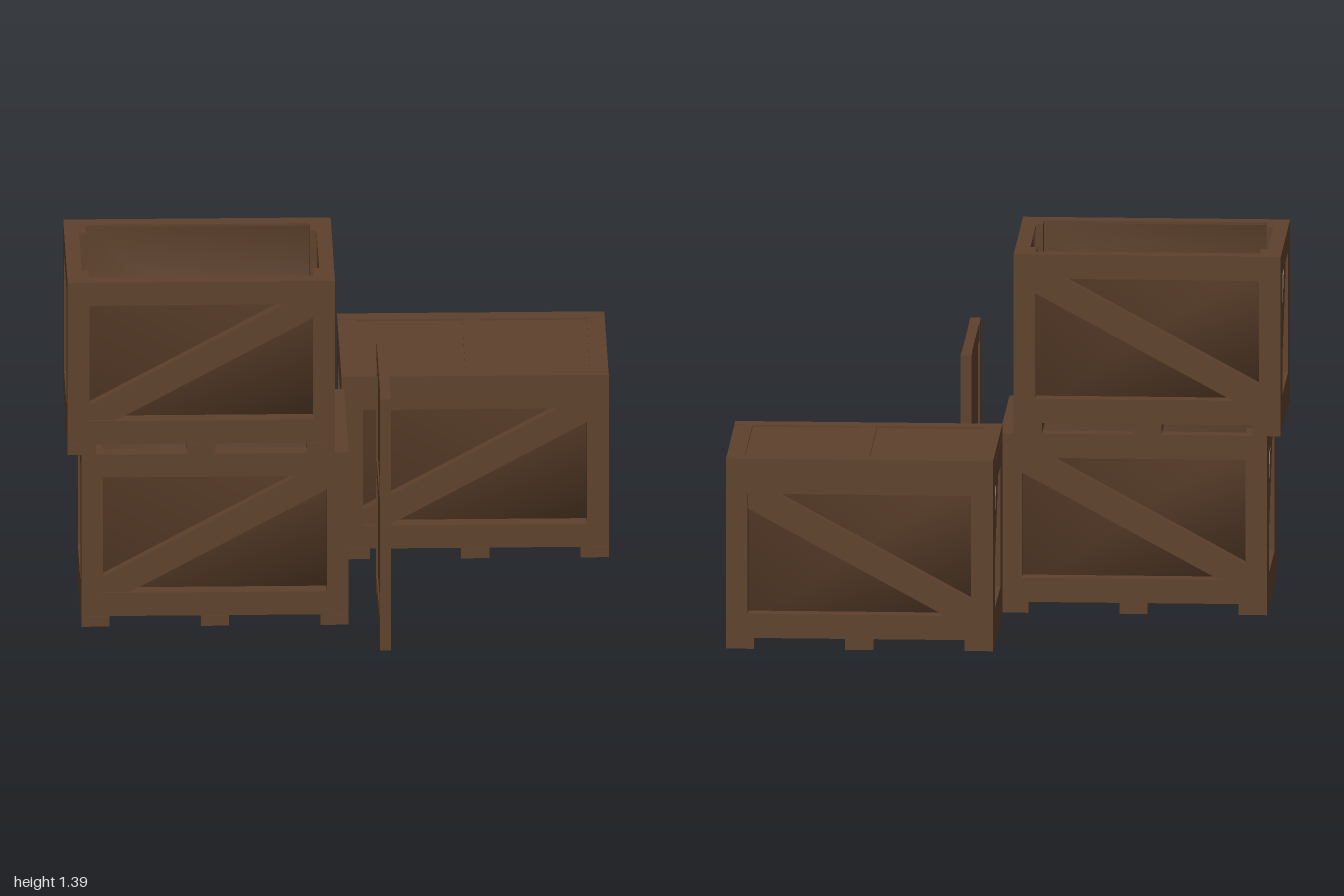
import * as THREE from 'three';
import { mergeVertices } from 'three/addons/utils/BufferGeometryUtils.js';

const W = 0.98, D = 0.68, H = 0.63, SKID = 0.04; // crate body and skid height
const POST_X = 0.08, POST_Z = 0.14, RAIL = 0.09, THICK = 0.06;

export function createModel() {
  const wood = new THREE.MeshStandardMaterial({ color: 0x5e412c });
  wood.name = 'brownWood';
  const panelWood = wood.clone();
  panelWood.side = THREE.DoubleSide;
  panelWood.name = 'brownWoodPanel';

  const add = (parent, name, geo, x, y, z, mat = wood) => {
    const mesh = new THREE.Mesh(geo, mat);
    mesh.name = name;
    mesh.position.set(x, y, z);
    parent.add(mesh);
    return mesh;
  };
  const box = (parent, name, w, h, d, x, y, z) =>
    add(parent, name, new THREE.BoxGeometry(w, h, d), x, y, z);

  // Thin open-topped box with softly blended normals
  function shellGeometry(w, h, d) {
    let geo = new THREE.BoxGeometry(w, h, d);
    const index = Array.from(geo.index.array);
    index.splice(12, 6); // drop the top
    geo.setIndex(index);
    geo.deleteAttribute('uv');
    geo.deleteAttribute('normal');
    geo = mergeVertices(geo);
    geo.computeVertexNormals();
    return geo;
  }

  // Diagonal board cut to fit a rectangular opening, rising to the right
  function braceGeometry(hw, hh, cutX, cutY, depth) {
    const pts = [[-hw, -hh], [-hw + cutX, -hh], [hw, hh - cutY],
      [hw, hh], [hw - cutX, hh], [-hw, -hh + cutY]];
    const shape = new THREE.Shape(pts.map(([x, y]) => new THREE.Vector2(x, y)));
    const geo = new THREE.ExtrudeGeometry(shape, { depth, bevelEnabled: false });
    return geo.translate(0, 0, -depth / 2);
  }

  function makeCrate(name) {
    const g = new THREE.Group();
    g.name = name;
    const mid = SKID + H / 2;
    // Inner panels
    add(g, 'innerPanels', shellGeometry(W - 0.11, H - 0.02, D - 2 * THICK), 0, mid, 0, panelWood);
    // Skids running front to back
    for (const x of [-W / 2 + 0.052, 0, W / 2 - 0.052])
      box(g, 'skid', 0.104, SKID, D + 0.006, x, SKID / 2, 0);

    const longW = W - 2 * POST_X, sideW = D - 2 * POST_Z, openH = H / 2 - RAIL;
    const longBrace = braceGeometry(longW / 2, openH, 0.1, 0.058, 0.045);
    const sideBrace = braceGeometry(sideW / 2, openH, 0.09, 0.06, 0.045);
    for (const s of [-1, 1]) {
      // Corner posts
      for (const t of [-1, 1])
        box(g, 'cornerPost', POST_X, H, POST_Z,
          s * (W - POST_X) / 2, mid, t * (D - POST_Z) / 2);
      // Top and bottom rails
      for (const y of [SKID + RAIL / 2, SKID + H - RAIL / 2]) {
        box(g, 'longRail', longW, RAIL, THICK, 0, y, s * (D - THICK) / 2);
        box(g, 'sideRail', 0.055, RAIL, sideW, s * (W - 0.055) / 2, y, 0);
      }
      // Diagonal braces
      add(g, 'longBrace', longBrace, 0, mid, s * (D / 2 - 0.034));
      add(g, 'sideBrace', sideBrace, s * (W / 2 - 0.032), mid, 0).rotation.y = s * Math.PI / 2;
    }
    return g;
  }

  function makeLid(name) {
    const g = new THREE.Group();
    g.name = name;
    const bar = 0.067, t = 0.04;
    box(g, 'lidPanel', W - bar, t - 0.014, D - bar, 0, 0, 0);
    for (const s of [-1, 1])
      box(g, 'lidLongBar', W, t, bar, 0, 0, s * (D - bar) / 2);
    for (const s of [-1, 0, 1])
      box(g, 'lidCrossBar', bar, t - 0.003, D - 2 * bar, s * (W - bar) / 2, 0, 0);
    return g;
  }

  const model = new THREE.Group();
  model.name = 'crateStack';
  const place = (obj, x, y, z) => { obj.position.set(x, y, z); model.add(obj); return obj; };

  place(makeCrate('closedCrate'), 0.51, 0.05, -0.42);
  place(makeLid('closedLid'), 0.51, 0.74, -0.42);
  place(makeCrate('lowerCrate'), -0.46, 0.05, 0.28);
  place(makeCrate('upperCrate'), -0.51, 0.72, 0.28);
  // Loose lid standing on its end
  place(makeLid('standingLid'), 0.162, W / 2, 0.427).rotation.z = Math.PI / 2;
  return model;
}
